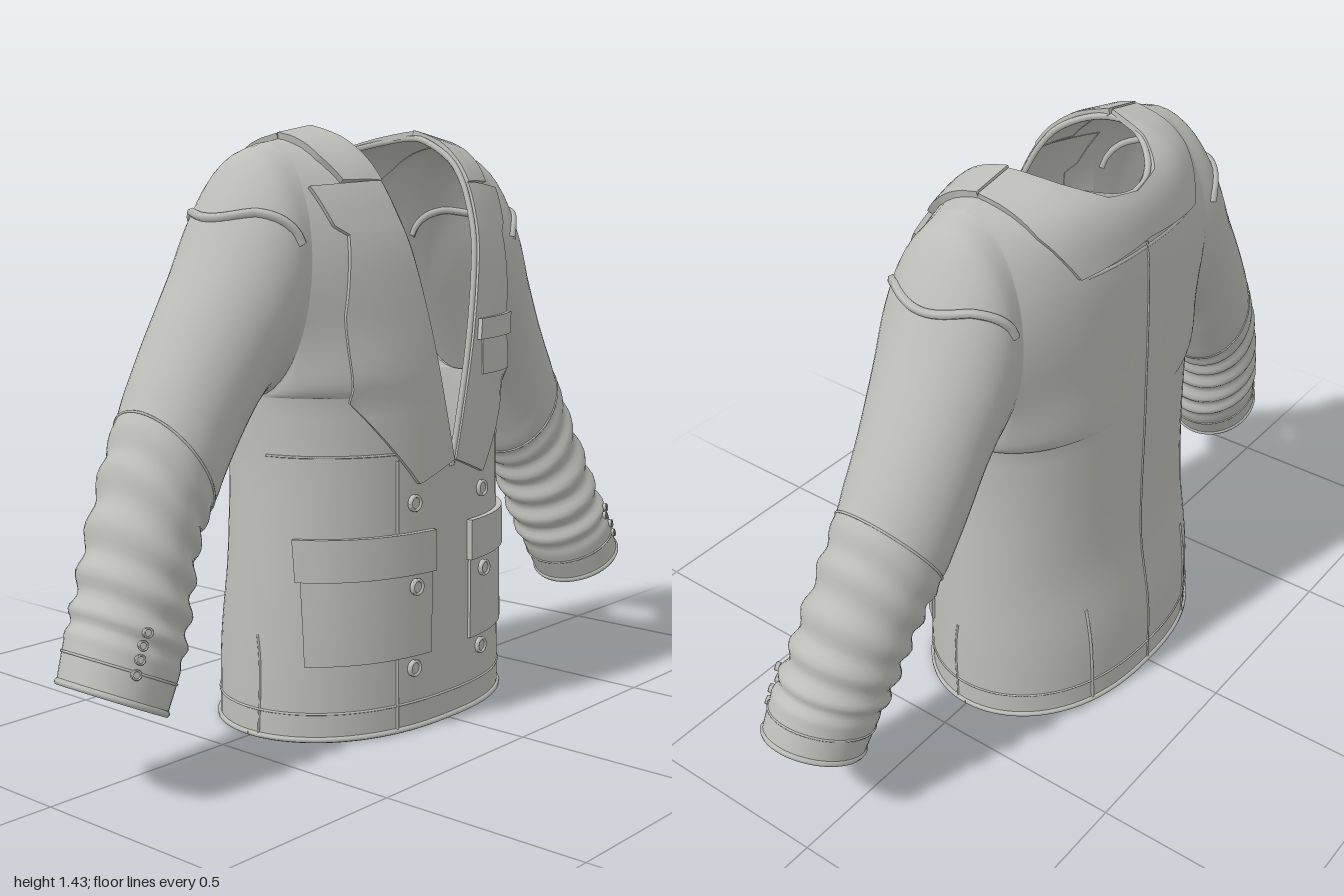
import * as THREE from 'three';
import { mergeGeometries, mergeVertices, toCreasedNormals } from 'three/addons/utils/BufferGeometryUtils.js';

const cloth = new THREE.MeshStandardMaterial({ color: 0xbdbdb9, side: THREE.DoubleSide });
cloth.name = 'grey cloth';

const { clamp, lerp, smoothstep } = THREE.MathUtils;
const V3 = (x, y, z) => new THREE.Vector3(x, y, z);

// smooth curve y(x) through a few points
const curve = pts => x => {
  const n = pts.length - 1;
  x = clamp(x, pts[0][0], pts[n][0]);
  let i = 0;
  while (i < n - 1 && x > pts[i + 1][0]) i++;
  const slope = k => {
    const a = pts[Math.max(k - 1, 0)], b = pts[Math.min(k + 1, n)];
    return (b[1] - a[1]) / (b[0] - a[0]);
  };
  const [x0, y0] = pts[i], [x1, y1] = pts[i + 1], h = x1 - x0, t = (x - x0) / h;
  return y0 * (1 + 2 * t) * (1 - t) ** 2 + y1 * t * t * (3 - 2 * t)
    + h * t * (1 - t) * (slope(i) * (1 - t) - slope(i + 1) * t);
};

// torso proportions by height
const PIT = 0.81, TOP = 1.39, MID = 1.1, ARM = 0.29, ARMZ = 0.17;
const waist = curve([[0, 0.412], [0.2, 0.408], [0.45, 0.397], [0.65, 0.388], [PIT, 0.39]]);
const chestZ = curve([[0, 0.28], [0.5, 0.28], [0.9, 0.278], [1.1, 0.262], [1.2, 0.24], [1.3, 0.185], [1.36, 0.1], [TOP, 0]]);
const backZ = curve([[0, -0.285], [0.2, -0.28], [0.42, -0.25], [0.8, -0.25], [1.15, -0.247], [1.25, -0.236], [1.33, -0.2], [1.37, -0.12], [TOP, 0]]);
const halfWidth = v => v < PIT ? waist(v) : lerp(0.39, 0.35, (v - PIT) / (TOP - PIT));
const frontEdge = v => Math.max(0, (v - 0.63) / 0.76 * 0.185);
const neckEdge = v => v < 1.3 ? 0 : Math.sqrt(Math.max(0, 0.04 - backZ(v) ** 2));

// point on the torso: side 1 = front, -1 = back
function torso(side, x, v) {
  v = clamp(v, 0, TOP);
  const a = Math.min(Math.abs(x) / halfWidth(v), 1);
  const arm = v < PIT ? 0 : side * ARMZ * Math.sqrt(Math.max(0, 1 - ((v - MID) / ARM) ** 2));
  const depth = side > 0 ? chestZ(v) : backZ(v);
  const power = lerp(0.5, 1, smoothstep(v, PIT, 1));
  const z = arm + (depth - arm) * Math.pow(Math.max(0, 1 - a ** 2.4), power);
  return V3(x, v + 0.065 * smoothstep(v, 1.2, TOP) * Math.min(1 - a, 0.45), z);
}
function onTorso(side, x, v, off = 0) {
  const e = 0.004;
  const dx = torso(side, x + e, v).sub(torso(side, x - e, v));
  const dv = torso(side, x, v + e).sub(torso(side, x, v - e));
  return torso(side, x, v).addScaledVector(dx.cross(dv).normalize(), off * side);
}

// sleeve: top line (x, y, half depth) and under line (x, y, centre z)
const spline = a => new THREE.CatmullRomCurve3(a.map(p => V3(...p)));
const sleeveTop = spline([[0.35, TOP, ARMZ], [0.41, 1.365, 0.175], [0.475, 1.28, 0.172], [0.55, 1.14, 0.16], [0.65, 0.97, 0.147], [0.74, 0.81, 0.138],
  [0.8, 0.69, 0.133], [0.87, 0.54, 0.132], [0.92, 0.43, 0.13], [0.96, 0.36, 0.127], [0.992, 0.275, 0.122]]);
const sleeveUnder = spline([[0.39, PIT, 0], [0.402, 0.81, -0.003], [0.425, 0.8, -0.006], [0.46, 0.76, -0.01], [0.52, 0.66, -0.014], [0.58, 0.56, -0.008],
  [0.625, 0.5, 0.002], [0.66, 0.42, 0.022], [0.69, 0.33, 0.04], [0.725, 0.25, 0.055], [0.772, 0.168, 0.065]]);
function sleeve(s, phi, off = 0) {
  const t = sleeveTop.getPoint(s), b = sleeveUnder.getPoint(s);
  const folds = 0.007 * Math.sin(s * 85 + 1.3 * Math.sin(phi)) * smoothstep(s, 0.42, 0.65) * (1 - smoothstep(s, 0.84, 0.92));
  const hx = (t.x - b.x) / 2, hy = (t.y - b.y) / 2, r = Math.hypot(hx, hy), k = 1 + (off + folds) / r;
  return V3((t.x + b.x) / 2 + hx * k * Math.sin(phi), (t.y + b.y) / 2 + hy * k * Math.sin(phi),
    b.z + (t.z + off + folds) * Math.cos(phi));
}

// quad grid from a point rule
function grid(nu, nv, fn) {
  const pos = [], idx = [];
  for (let j = 0; j <= nv; j++) for (let i = 0; i <= nu; i++) pos.push(...fn(i, j).toArray());
  for (let j = 0; j < nv; j++) for (let i = 0; i < nu; i++) {
    const a = j * (nu + 1) + i, c = a + nu + 1;
    idx.push(a, a + 1, c, a + 1, c + 1, c);
  }
  const g = new THREE.BufferGeometry();
  g.setAttribute('position', new THREE.Float32BufferAttribute(pos, 3));
  g.setIndex(idx);
  return g;
}

function add(parent, name, geo) {
  const m = new THREE.Mesh(geo, cloth);
  m.name = name;
  parent.add(m);
  return m;
}

const along = (pts, t) => {
  const f = t * (pts.length - 1), i = Math.min(Math.floor(f), pts.length - 2);
  return [0, 1].map(k => lerp(pts[i][k], pts[i + 1][k], f - i));
};

// raised cloth panel between two edge lines drawn on the torso
function panel(parent, name, side, inner, outer, thick, nv = (inner.length - 1) * 6) {
  const nu = 10;
  const g = grid(nu + 2, nv + 2, (i, j) => {
    const u = clamp((i - 1) / nu, 0, 1), t = clamp((j - 1) / nv, 0, 1);
    const rim = i === 0 || j === 0 || i === nu + 2 || j === nv + 2;
    const a = along(inner, t), b = along(outer, t);
    return onTorso(side, lerp(a[0], b[0], u), lerp(a[1], b[1], u), rim ? -0.002 : thick);
  });
  return add(parent, name, toCreasedNormals(g, 0.7));
}
const rectPanel = (parent, name, x0, x1, y0, y1, thick) =>
  panel(parent, name, 1, [[x0, y0], [x0, y1]], [[x1, y0], [x1, y1]], thick, 8);

function cord(parent, name, points, r, closed = false) {
  return add(parent, name, new THREE.TubeGeometry(new THREE.CatmullRomCurve3(points, closed), points.length * 3, r, 6, closed));
}
const seam = (parent, name, side, pts, r = 0.003, off = 0) =>
  cord(parent, name, Array.from({ length: 25 }, (_, i) => onTorso(side, ...along(pts, i / 24), off)), r);
const sleeveRing = (s, off = 0) => Array.from({ length: 32 }, (_, i) => sleeve(s, i / 32 * Math.PI * 2, off));

function button(parent, name, p, dir, r) {
  const g = new THREE.Group();
  g.name = name;
  g.position.copy(p);
  g.quaternion.setFromUnitVectors(V3(0, 0, 1), dir.normalize());
  add(g, 'buttonDisc', new THREE.CylinderGeometry(r, r, 0.008, 18).rotateX(Math.PI / 2));
  add(g, 'buttonRim', new THREE.TorusGeometry(r * 0.85, r * 0.2, 6, 18)).position.z = 0.004;
  parent.add(g);
}

function halfJacket() {
  const half = new THREE.Group();
  // shell: front, back and sleeve welded into one smooth skin
  const rows = [], N = 20, K = 24;
  for (let i = 0; i < 12; i++) rows.push(0.008 + 0.622 * i / 12);
  for (let i = 0; i < 4; i++) rows.push(0.63 + (PIT - 0.63) * i / 4);
  for (let i = 0; i <= K; i++) rows.push(MID + ARM * Math.sin(Math.PI * (i / K - 0.5)));
  const sheet = side => grid(N, rows.length - 1, (i, j) => {
    const v = rows[j], u = Math.sin((side > 0 ? i : N - i) / N * Math.PI / 2);
    return torso(side, lerp(side > 0 ? frontEdge(v) : neckEdge(v), halfWidth(v), u), v);
  });
  const arm = grid(90, 2 * K, (i, j) => sleeve(i / 90, Math.PI * (j / K - 0.5)));
  const shell = mergeVertices(mergeGeometries([sheet(1), sheet(-1), arm]), 1e-4);
  shell.computeVertexNormals();
  add(half, 'jacketShell', shell);

  // edge bindings
  const lip = [];
  for (let i = 0; i <= 16; i++) { const v = 0.63 + 0.75 * i / 16; lip.push(torso(1, frontEdge(v), v)); }
  for (let v = 1.385; v > 1.33; v -= 0.01) lip.push(torso(-1, neckEdge(v), v));
  lip.push(torso(-1, 0, 1.33));
  cord(half, 'neckBinding', lip, 0.008);
  for (const side of [1, -1]) {
    const hem = y => Array.from({ length: 25 }, (_, i) => torso(side, halfWidth(y) * Math.sin(i / 24 * Math.PI / 2), y));
    cord(half, 'hemBinding', hem(0.008), 0.007);
    cord(half, 'hemStitch', hem(0.07), 0.003);
  }
  cord(half, 'cuffBinding', sleeveRing(0.998, -0.003), 0.008, true);
  cord(half, 'cuffSeam', sleeveRing(0.93), 0.003, true);
  cord(half, 'elbowSeam', sleeveRing(0.5), 0.003, true);

  // ridge over the upper sleeve
  cord(half, 'sleeveRidge', Array.from({ length: 25 }, (_, i) => {
    const phi = lerp(0.08, 0.92, i / 24) * Math.PI;
    return sleeve(0.02 + 0.225 * Math.sin(phi), phi);
  }), 0.011);

  // lapel and collar
  panel(half, 'lapel', 1,
    [[0.003, 0.645], [0.045, 0.81], [0.092, 1.0], [0.137, 1.18], [0.145, 1.21], [0.163, 1.285]],
    [[0.12, 0.6], [0.285, 0.8], [0.302, 1.0], [0.285, 1.18], [0.315, 1.2], [0.345, 1.285]], 0.013);
  panel(half, 'collarFront', 1, [[0.162, 1.285], [0.175, 1.34], [0.19, TOP]], [[0.265, 1.29], [0.29, 1.34], [0.3, TOP]], 0.016);
  panel(half, 'collarBack', -1,
    [[0.195, TOP], [0.16, 1.37], [0.09, 1.34], [0, 1.33]],
    [[0.3, TOP], [0.285, 1.33], [0.225, 1.235], [0, 1.25]], 0.014);

  // hip pocket with flap
  rectPanel(half, 'hipPocket', 0.075, 0.365, 0.185, 0.45, 0.007);
  rectPanel(half, 'hipPocketFlap', 0.068, 0.37, 0.385, 0.485, 0.015);

  // buttons
  for (const y of [0.155, 0.355, 0.555])
    button(half, 'frontButton', onTorso(1, 0.13, y, y === 0.355 ? 0.012 : 0.004), V3(0.05, 0, 1), 0.02);
  for (let i = 0; i < 4; i++)
    button(half, 'cuffButton', sleeve(0.83 + 0.035 * i, 0.45, 0.003), V3(0.35, 0.2, 1), 0.011);

  // seams
  seam(half, 'waistSeam', 1, [[0.13, 0.675], [0.385, 0.675]]);
  seam(half, 'sideSeam', 1, [[0.41, 0.01], [0.405, 0.25]]);
  seam(half, 'backVent', -1, [[0.21, 0.01], [0.215, 0.3]], 0.004);
  seam(half, 'liningSeam', -1, [[0, 1.23], [0.2, 1.23]], 0.006, -0.004);
  return half;
}

export function createModel() {
  const jacket = new THREE.Group();
  jacket.name = 'jacket';
  const left = halfJacket();
  left.name = 'leftHalf';
  const right = left.clone();
  right.name = 'rightHalf';
  right.scale.x = -1;
  jacket.add(left, right);

  // one-sided details
  seam(jacket, 'frontOverlap', 1, [[-0.177, 0.01], [-0.177, 0.66]], 0.004);
  seam(jacket, 'backSeam', -1, [[0, 0.01], [0, 1.24]]);
  panel(jacket, 'breastPocketWelt', 1, [[0.09, 0.925], [0.1, 0.975]], [[0.295, 0.925], [0.31, 0.98]], 0.024, 6);
  rectPanel(jacket, 'breastPocket', 0.11, 0.28, 0.84, 0.93, 0.016);
  return jacket;
}
